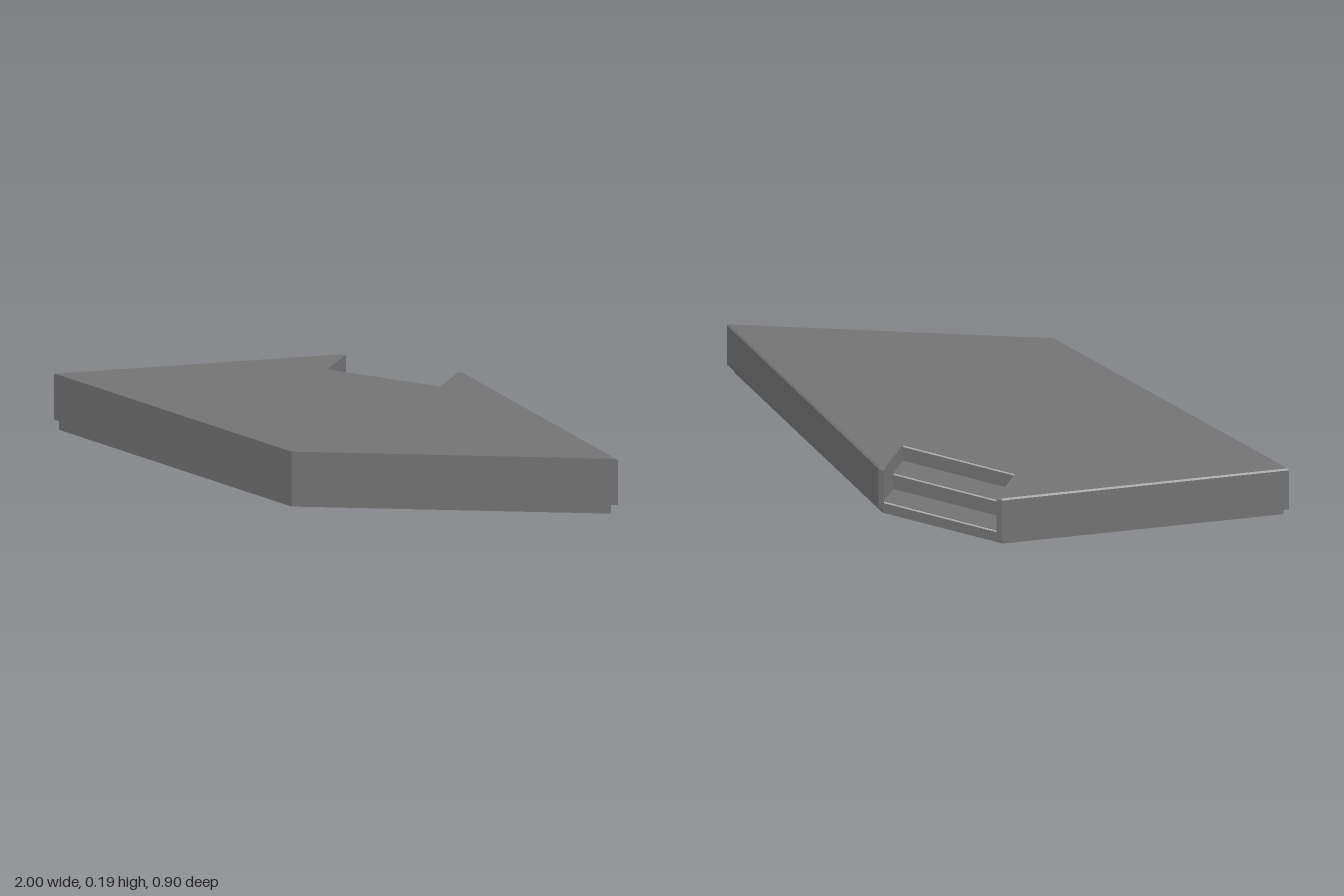
import * as THREE from 'three';

const stone = new THREE.MeshStandardMaterial({ color: 0x737373, flatShading: true });
const light = new THREE.MeshStandardMaterial({ color: 0xe0e0e0, flatShading: true });

// Complete a half outline of [x, z] points by mirroring it about x = 0
function mirrored(front, half) {
  return [front, ...half, ...half.slice().reverse().map(([x, z]) => [-x, z])];
}

// Closed solid through stacked outlines, each { y, pts } with the same number of points
function stack(levels) {
  const pos = [];
  const put = (level, i) => pos.push(level.pts[i][0], level.y, level.pts[i][1]);
  const n = levels[0].pts.length;
  for (let k = 0; k < levels.length - 1; k++) {
    const lo = levels[k], hi = levels[k + 1];
    for (let i = 0; i < n; i++) {
      const j = (i + 1) % n;
      put(lo, i); put(lo, j); put(hi, j);
      put(lo, i); put(hi, j); put(hi, i);
    }
  }
  const cap = (level, up) => {
    const flat = level.pts.map(([x, z]) => new THREE.Vector2(x, -z));
    for (const [a, b, c] of THREE.ShapeUtils.triangulateShape(flat, [])) {
      for (const i of up ? [a, b, c] : [a, c, b]) put(level, i);
    }
  };
  cap(levels[0], false);
  cap(levels[levels.length - 1], true);
  const geometry = new THREE.BufferGeometry();
  geometry.setAttribute('position', new THREE.Float32BufferAttribute(pos, 3));
  geometry.computeVertexNormals();
  return geometry;
}

export function createModel() {
  const group = new THREE.Group();
  group.name = 'steppedPlatform';
  const add = (name, geometry, material = stone) => {
    const mesh = new THREE.Mesh(geometry, material);
    mesh.name = name;
    group.add(mesh);
  };

  // Recessed plinth, set back along the rear edges only
  const base = mirrored([0, 0.45], [[0.978, 0.096], [0.214, -0.43]]);
  add('plinth', stack([{ y: 0, pts: base }, { y: 0.03, pts: base }]));

  // Main deck with a stair notch at the back and a slim chamfer on the rear edges
  const body = mirrored([0, 0.45], [[1, 0.088], [0.22, -0.45], [0.2, -0.45], [0.2, -0.3]]);
  const top = mirrored([0, 0.45], [[0.994, 0.09], [0.218, -0.445], [0.2, -0.445], [0.2, -0.3]]);
  add('deck', stack([{ y: 0.03, pts: body }, { y: 0.185, pts: body }, { y: 0.19, pts: top }]));

  // Two steps filling the notch (profile in z, y)
  const profile = new THREE.Shape([
    [-0.3, 0.03], [-0.45, 0.03], [-0.45, 0.063],
    [-0.375, 0.063], [-0.375, 0.127], [-0.3, 0.127],
  ].map(([z, y]) => new THREE.Vector2(z, y)));
  const steps = new THREE.ExtrudeGeometry(profile, { depth: 0.4, bevelEnabled: false });
  steps.rotateY(-Math.PI / 2).translate(0.2, 0, 0);
  add('steps', steps);

  // Pale strip along the upper edge of each riser
  for (const [z, y] of [[-0.45, 0.063], [-0.375, 0.127], [-0.3, 0.19]]) {
    add('edgeStrip', new THREE.BoxGeometry(0.4, 0.006, 0.002).translate(0, y - 0.005, z));
    group.children.at(-1).material = light;
  }

  return group;
}
